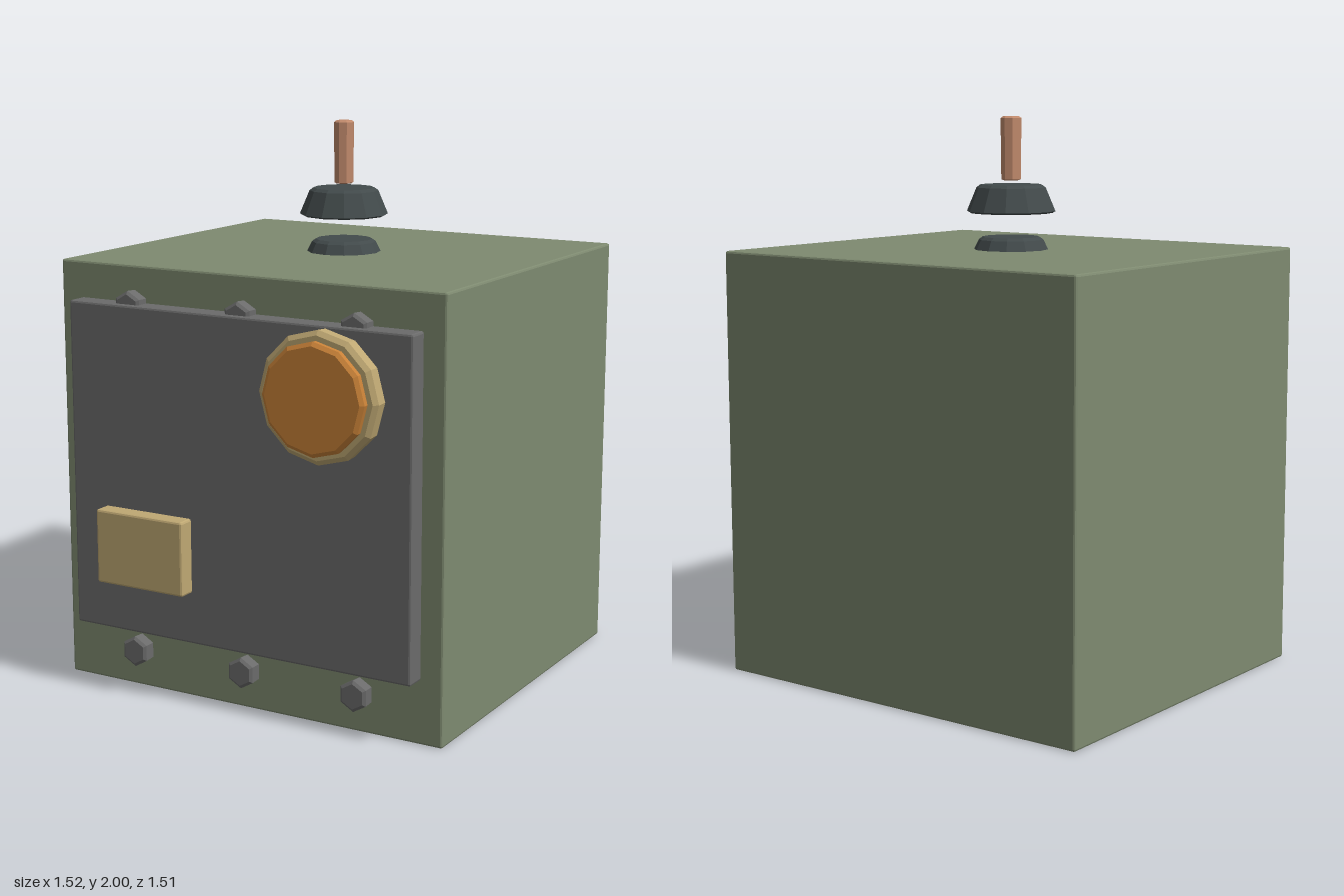
import * as THREE from 'three';
import { RoundedBoxGeometry } from 'three/addons/geometries/RoundedBoxGeometry.js';

const paint = (name, color) => {
  const m = new THREE.MeshStandardMaterial({ color, flatShading: true });
  m.name = name;
  return m;
};

export function createModel() {
  const model = new THREE.Group();
  model.name = 'electricalCabinet';

  const green = paint('olive green paint', 0x7e8a70);
  const grey = paint('grey steel', 0x6b6b6b);
  const brass = paint('pale brass', 0xbfa873);
  const amber = paint('amber glass', 0xc98238);
  const rubber = paint('dark ceramic', 0x424a4b);
  const copper = paint('copper', 0xc18a6c);

  const add = (name, geometry, material, x = 0, y = 0, z = 0) => {
    const mesh = new THREE.Mesh(geometry, material);
    mesh.name = name;
    mesh.position.set(x, y, z);
    model.add(mesh);
    return mesh;
  };

  // Box with a small chamfer, given by its limits
  const box = (name, material, [x0, x1], [y0, y1], [z0, z1], bevel = 0.008) =>
    add(name, new RoundedBoxGeometry(x1 - x0, y1 - y0, z1 - z0, 1, bevel), material,
      (x0 + x1) / 2, (y0 + y1) / 2, (z0 + z1) / 2);

  // Capped, chamfered frustum rising from y = 0
  const frustum = (rBottom, rTop, height, sides, b = 0.008) => new THREE.LatheGeometry([
    [0, 0], [rBottom - b, 0], [rBottom, b * 0.6], [rTop + b * 0.4, height - b], [rTop - b, height], [0, height],
  ].map(([x, y]) => new THREE.Vector2(x, y)), sides);

  // Same solid turned to face the front
  const disc = (radius, depth, sides, b) => frustum(radius, radius, depth, sides, b).rotateX(Math.PI / 2);

  // Cabinet and door
  box('cabinetBody', green, [-0.76, 0.76], [0, 1.53], [-0.757, 0.59]);
  box('doorPanel', grey, [-0.677, 0.677], [0.225, 1.4], [0.57, 0.662]);
  box('namePlate', brass, [-0.54, -0.18], [0.41, 0.677], [0.64, 0.722]);

  // Hexagonal bolts along the top and bottom of the door
  for (const y of [0.142, 1.39]) {
    for (const x of [-0.447, 0, 0.447]) {
      add('bolt', disc(0.053, 0.07, 6), grey, x, y, 0.572);
    }
  }

  // Round indicator lamp
  add('lampBezel', disc(0.22, 0.082, 12, 0.012), brass, 0.357, 1.17, 0.64);
  add('lampLens', disc(0.188, 0.055, 12, 0.01), amber, 0.357, 1.17, 0.7);

  // Stacked insulator and terminal
  const axisZ = -0.085;
  add('lowerInsulator', frustum(0.15, 0.112, 0.085, 12, 0.01), rubber, 0, 1.49, axisZ);
  add('upperInsulator', frustum(0.159, 0.12, 0.1, 12, 0.01), rubber, 0, 1.66, axisZ);
  add('terminalRod', frustum(0.035, 0.035, 0.225, 8, 0.006), copper, 0, 1.775, axisZ);

  return model;
}
